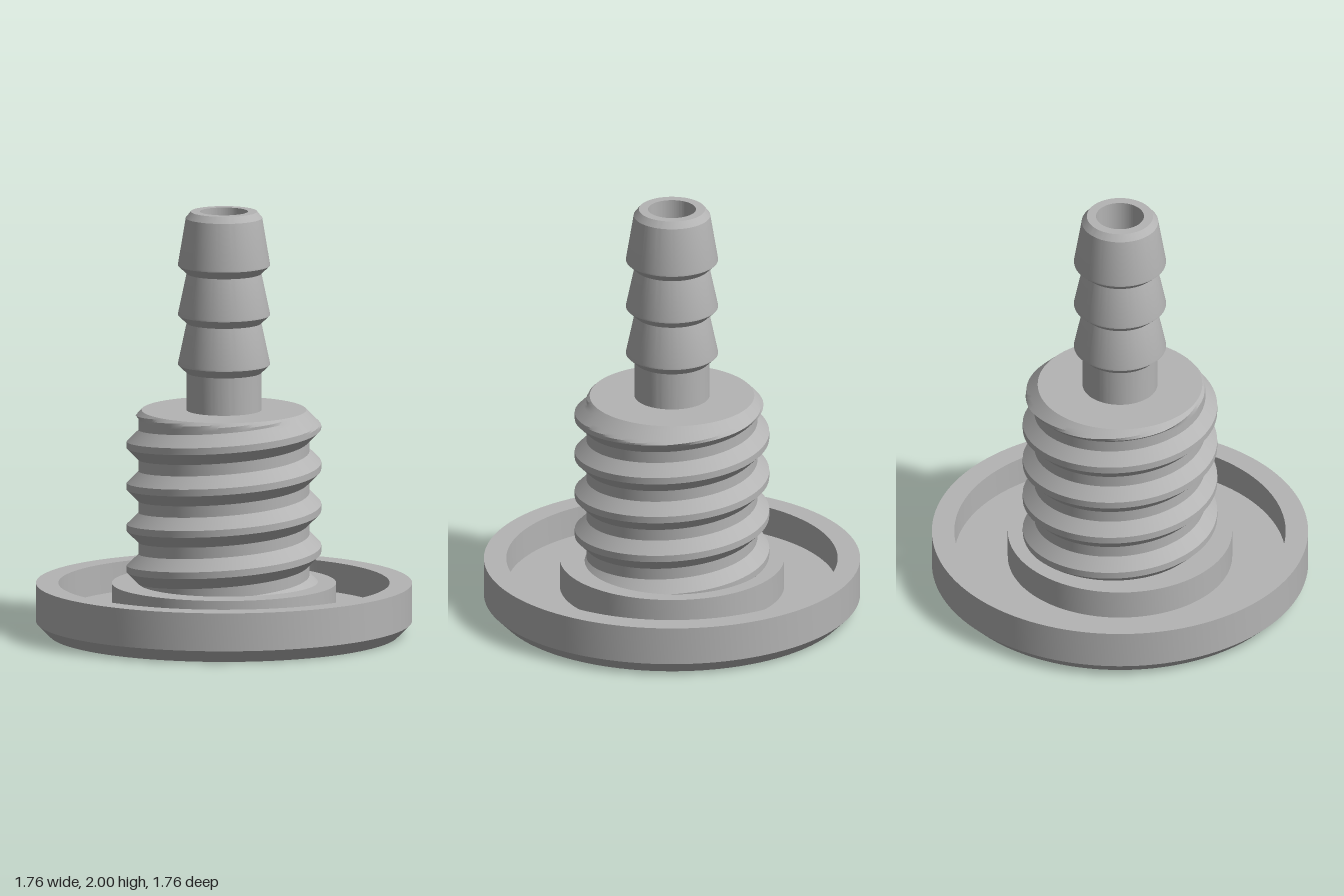
import * as THREE from 'three';
import { toCreasedNormals } from 'three/addons/utils/BufferGeometryUtils.js';

const CREASE = 0.45;
const SEGMENTS = 128;

// Turned part with crisp edges from [radius, height] pairs
function turned(name, points, material) {
  const lathe = new THREE.LatheGeometry(points.map(([r, y]) => new THREE.Vector2(r, y)), SEGMENTS);
  const mesh = new THREE.Mesh(toCreasedNormals(lathe, CREASE), material);
  mesh.name = name;
  return mesh;
}

// Right-handed helical thread, cut flat at both ends and chamfered at the top
function threadGeometry() {
  const bottom = 0.23, top = 1.06, pitch = 0.196;
  const root = 0.4, crest = 0.455, halfCrest = 0.016, halfTooth = 0.071;
  const stops = [-halfTooth, -halfCrest, halfCrest, halfTooth, pitch - halfTooth];
  const offsets = [];
  for (let turn = -5; turn <= 1; turn++) {
    for (let s = 0; s < 4; s++) {
      for (let k = 0; k < 4; k++) {
        offsets.push(turn * pitch + THREE.MathUtils.lerp(stops[s], stops[s + 1], k / 4));
      }
    }
  }
  const pointAt = (angle, offset) => {
    const centre = 0.949 + pitch * angle / (2 * Math.PI);
    const y = THREE.MathUtils.clamp(centre + offset, bottom, top);
    const d = Math.abs(y - centre - pitch * Math.round((y - centre) / pitch));
    const t = THREE.MathUtils.clamp((halfTooth - d) / (halfTooth - halfCrest), 0, 1);
    const r = Math.min(root + (crest - root) * t, 0.385 + top - y);
    return [r * Math.sin(angle), y, r * Math.cos(angle)];
  };
  const columns = [];
  for (let i = 0; i <= SEGMENTS; i++) {
    const angle = -Math.PI + (i / SEGMENTS) * 2 * Math.PI;
    columns.push(offsets.map((o) => pointAt(angle, o)));
  }
  const positions = [];
  for (let i = 0; i < SEGMENTS; i++) {
    for (let j = 0; j < offsets.length - 1; j++) {
      const a = columns[i][j], b = columns[i + 1][j];
      const c = columns[i + 1][j + 1], d = columns[i][j + 1];
      if (c[1] - b[1] > 1e-7) positions.push(...a, ...b, ...c);
      if (d[1] - a[1] > 1e-7) positions.push(...a, ...c, ...d);
    }
  }
  const geometry = new THREE.BufferGeometry();
  geometry.setAttribute('position', new THREE.Float32BufferAttribute(positions, 3));
  return toCreasedNormals(geometry, CREASE);
}

export function createModel() {
  const group = new THREE.Group();
  group.name = 'hoseFitting';
  const grey = new THREE.MeshStandardMaterial({ color: 0xb4b4b4 });
  grey.name = 'grey';

  // Flange with chamfered underside, ring groove and collar
  group.add(turned('flange', [
    [0.165, 0], [0.82, 0], [0.88, 0.06], [0.88, 0.24], [0.775, 0.24],
    [0.775, 0.1], [0.525, 0.1], [0.525, 0.24], [0.36, 0.24],
  ], grey));

  // Threaded body
  const thread = new THREE.Mesh(threadGeometry(), grey);
  thread.name = 'thread';
  group.add(thread);

  // Shoulder, neck and three barbs
  const profile = [[0.385, 1.06], [0.175, 1.06]];
  for (let i = 0; i < 3; i++) {
    const y = 1.237 + i * 0.235;
    profile.push([0.175, y], [0.215, y + 0.038], [0.215, y + 0.046]);
  }
  profile.push([0.179, 1.97], [0.155, 2], [0.112, 2]);
  group.add(turned('barbedSpout', profile, grey));

  // Through bore with countersunk mouth
  group.add(turned('bore', [[0.112, 2], [0.112, 0.055], [0.165, 0]], grey));

  return group;
}
